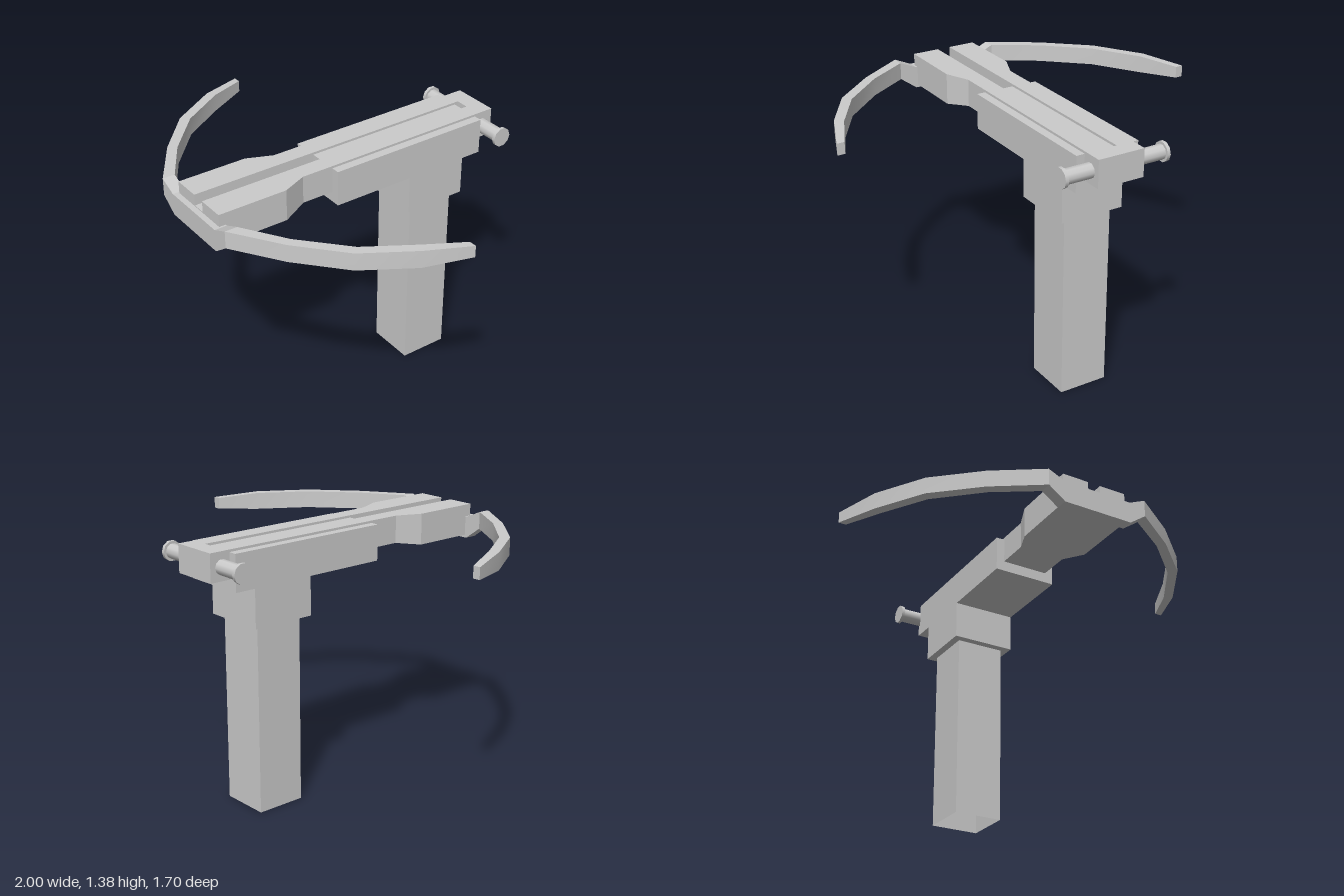
import * as THREE from 'three';

const material = new THREE.MeshStandardMaterial({ color: 0xcccccc });
const flatMaterial = new THREE.MeshStandardMaterial({ color: 0xcccccc, flatShading: true });
const openMaterial = new THREE.MeshStandardMaterial({ color: 0xcccccc, flatShading: true, side: THREE.DoubleSide });

function add(parent, name, geometry, mat = material) {
  const mesh = new THREE.Mesh(geometry, mat);
  mesh.name = name;
  parent.add(mesh);
  return mesh;
}

// Box given by its limits on each axis
function boxBetween(x0, x1, y0, y1, z0, z1) {
  return new THREE.BoxGeometry(x1 - x0, y1 - y0, z1 - z0)
    .translate((x0 + x1) / 2, (y0 + y1) / 2, (z0 + z1) / 2);
}

// Skin over rings running from front to back, each counter-clockwise seen from +z.
// Every side strip has its own vertices, so long edges stay sharp.
function loft(rings, capStart, capEnd) {
  const positions = [], indices = [];
  const n = rings[0].length;
  for (let i = 0; i < n; i++) {
    const base = positions.length / 3;
    rings.forEach(ring => positions.push(...ring[i], ...ring[(i + 1) % n]));
    for (let s = 0; s < rings.length - 1; s++) {
      const a = base + s * 2;
      indices.push(a, a + 2, a + 3, a, a + 3, a + 1);
    }
  }
  const cap = (ring, reversed) => {
    const base = positions.length / 3;
    ring.forEach(p => positions.push(...p));
    const outline = ring.map(p => new THREE.Vector2(p[0], p[1]));
    for (const [a, b, c] of THREE.ShapeUtils.triangulateShape(outline, [])) {
      indices.push(base + a, base + (reversed ? c : b), base + (reversed ? b : c));
    }
  };
  if (capStart) cap(rings[0], false);
  if (capEnd) cap(rings[rings.length - 1], true);
  const geometry = new THREE.BufferGeometry();
  geometry.setAttribute('position', new THREE.Float32BufferAttribute(positions, 3));
  geometry.setIndex(indices);
  geometry.computeVertexNormals();
  return geometry;
}

// Grooved cross-section of the stock
function stockRing(z, w, bottom) {
  const top = 1.378, floor = 1.32, g = 0.035;
  return [[w, bottom], [w, top], [g, top], [g, floor], [-g, floor], [-g, top], [-w, top], [-w, bottom]]
    .map(([x, y]) => [x, y, z]);
}

// Curved, tapering bow limb; side is 1 or -1
function limb(side) {
  // outer x, outer z, inner x, inner z, half height
  const sections = [
    [0.28, 0.845, 0.28, 0.78, 0.045],
    [0.53, 0.68, 0.50, 0.64, 0.045],
    [0.755, 0.48, 0.72, 0.44, 0.045],
    [0.91, 0.23, 0.87, 0.20, 0.045],
    [1.0, 0, 0.96, 0, 0.03],
  ];
  const rings = sections.map(([ox, oz, ix, iz, h]) => {
    const ring = [[ox, 1.31 - h, oz], [ox, 1.31 + h, oz], [ix, 1.31 + h, iz], [ix, 1.31 - h, iz]]
      .map(([x, y, z]) => [x * side, y, z]);
    return side > 0 ? ring : ring.reverse();
  });
  return loft(rings, false, true);
}

export function createModel() {
  const model = new THREE.Group();
  model.name = 'mountedCrossbow';

  // Hollow square post, open at the foot
  const post = new THREE.CylinderGeometry(0.13 * Math.SQRT2, 0.13 * Math.SQRT2, 0.98, 4, 1, true)
    .rotateY(Math.PI / 4).translate(0, 0.49, -0.46);
  add(model, 'post', post, openMaterial);

  // Mount
  add(model, 'collar', boxBetween(-0.17, 0.17, 0.98, 1.185, -0.63, -0.29));
  add(model, 'cradle', boxBetween(-0.17, 0.17, 1.18, 1.366, -0.74, 0.15));

  // Stock with bolt groove and closed rear block
  const stock = new THREE.Group();
  stock.name = 'stock';
  model.add(stock);
  add(stock, 'groovedStock', loft([
    stockRing(0.815, 0.18, 1.215),
    stockRing(0.45, 0.18, 1.215),
    stockRing(0.32, 0.125, 1.235),
    stockRing(-0.76, 0.125, 1.235),
  ], true, false), flatMaterial);
  add(stock, 'stockEnd', boxBetween(-0.125, 0.125, 1.235, 1.378, -0.85, -0.76));

  // Bow: dropped centre grip and two limbs
  const bow = new THREE.Group();
  bow.name = 'bow';
  model.add(bow);
  const grip = new THREE.Shape([
    [-0.28, 1.265], [-0.19, 1.2], [0.19, 1.2], [0.28, 1.265],
    [0.28, 1.355], [0.19, 1.315], [-0.19, 1.315], [-0.28, 1.355],
  ].map(([x, y]) => new THREE.Vector2(x, y)));
  add(bow, 'bowCentre', new THREE.ExtrudeGeometry(grip, { depth: 0.065, bevelEnabled: false }).translate(0, 0, 0.78));
  add(bow, 'leftLimb', limb(1));
  add(bow, 'rightLimb', limb(-1));

  // Rear handles with end caps
  for (const side of [1, -1]) {
    const handle = new THREE.Group();
    handle.name = side > 0 ? 'leftHandle' : 'rightHandle';
    handle.position.set(0, 1.303, -0.785);
    model.add(handle);
    const rod = (r, x0, x1) => new THREE.CylinderGeometry(r, r, x1 - x0, 10)
      .rotateZ(Math.PI / 2).translate(side * (x0 + x1) / 2, 0, 0);
    add(handle, 'handleBar', rod(0.038, 0.11, 0.272));
    add(handle, 'handleCap', rod(0.051, 0.27, 0.287));
  }
  return model;
}
